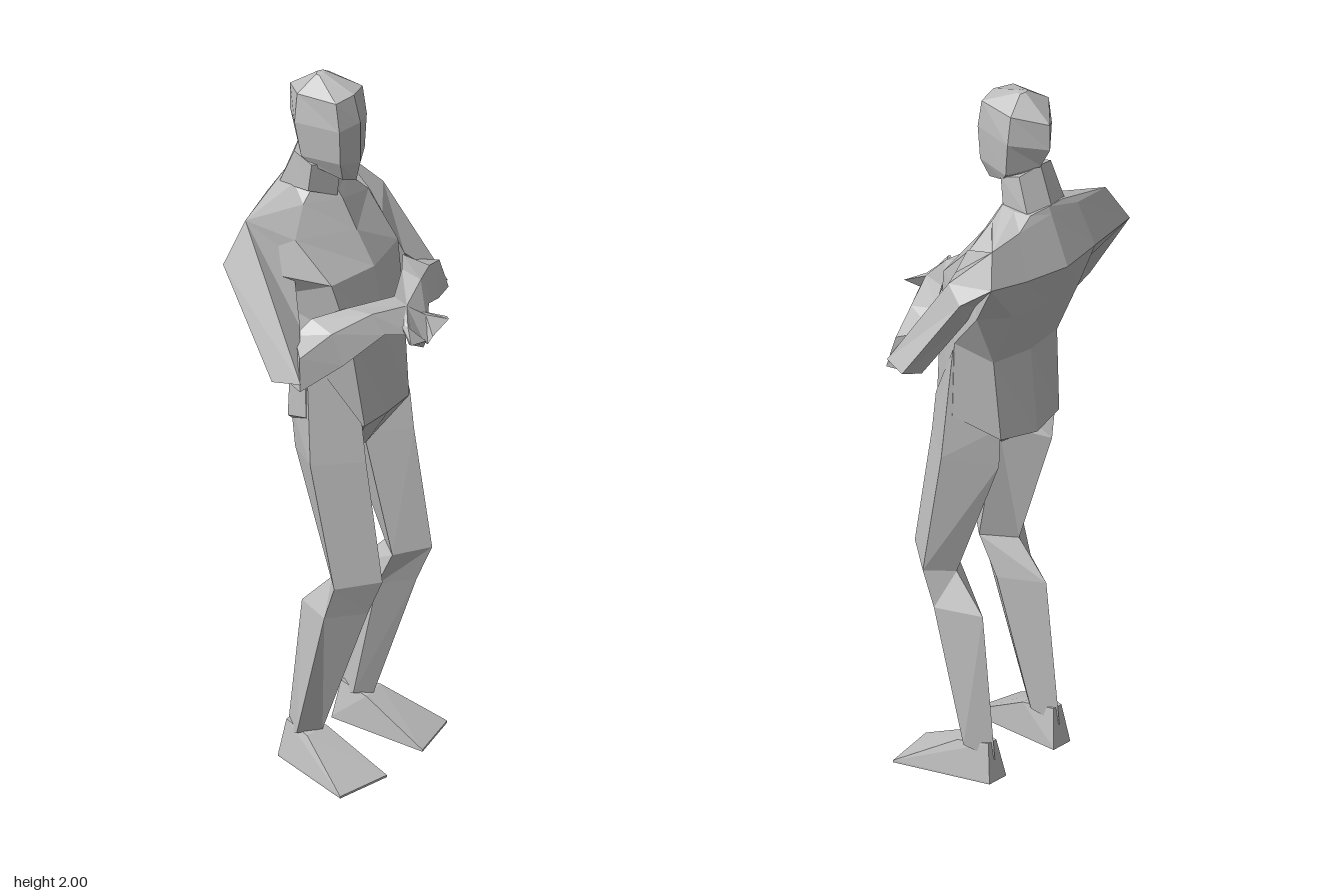
import * as THREE from 'three';

const grey = new THREE.MeshStandardMaterial({ color: 0xc0c0c0 });
grey.name = 'clay grey';

// Closed faceted skin through rings of [x, y, z] corners, capped at both ends
function loft(name, rings) {
  const tris = [];
  const n = rings[0].length;
  const middle = (ring) => [0, 1, 2].map((k) => ring.reduce((s, p) => s + p[k], 0) / n);
  const first = rings[0], last = rings[rings.length - 1];
  const c0 = middle(first), c1 = middle(last);
  for (let i = 0; i < n; i++) {
    const j = (i + 1) % n;
    for (let r = 0; r + 1 < rings.length; r++) {
      const a = rings[r], b = rings[r + 1];
      tris.push([a[i], a[j], b[j]], [a[i], b[j], b[i]]);
    }
    tris.push([c0, first[j], first[i]], [c1, last[i], last[j]]);
  }
  // Turn the faces outward by the sign of the enclosed volume
  let volume = 0;
  for (const [a, b, c] of tris) {
    volume += new THREE.Vector3(...a).dot(new THREE.Vector3(...b).cross(new THREE.Vector3(...c)));
  }
  if (volume < 0) tris.forEach((t) => t.reverse());
  const geometry = new THREE.BufferGeometry();
  geometry.setAttribute('position', new THREE.Float32BufferAttribute(tris.flat(2), 3));
  geometry.computeVertexNormals();
  const mesh = new THREE.Mesh(geometry, grey);
  mesh.name = name;
  return mesh;
}

const flip = ([x, y, z]) => [-x, y, z];

// Full ring from its left half, listed from front centre to back centre
const whole = (half) => [...half, ...half.slice(1, -1).reverse().map(flip)];

// Torso ring whose side corner differs between left and right
const uneven = (front, left, right, back) => [
  ...front, left, ...back, ...back.slice(0, -1).reverse().map(flip), flip(right), ...front.slice(1).reverse().map(flip),
];

// Rings moved to one side of the body, with a small sideways shift
const place = (rings, side, shift = 0) =>
  rings.map((ring) => ring.map(([x, y, z]) => [side * x + (y < 0.9 ? shift : 0), y, z]));

// Shoulder rings: top, front, inner, back; the right one is a little wider
const shoulders = {
  left: [[0.205, 1.64, -0.18], [0.165, 1.58, -0.055], [0.17, 1.43, -0.1], [0.24, 1.55, -0.21]],
  right: [[0.24, 1.64, -0.165], [0.165, 1.58, -0.075], [0.17, 1.43, -0.11], [0.305, 1.53, -0.19]],
};

export function createModel() {
  const figure = new THREE.Group();
  figure.name = 'standingFigure';

  const head = loft('head', [
    [[0, 2, -0.08], [0.015, 1.998, -0.085], [0.015, 1.998, -0.095], [0, 2, -0.1]],
    [[0, 1.965, 0.015], [0.06, 1.96, 0], [0.072, 1.96, -0.115], [0, 1.935, -0.188]],
    [[0, 1.89, 0.035], [0.062, 1.88, 0.012], [0.084, 1.88, -0.115], [0, 1.86, -0.188]],
    [[0, 1.77, 0.035], [0.055, 1.78, 0.01], [0.075, 1.78, -0.1], [0, 1.8, -0.155]],
    [[0, 1.712, 0.022], [0.03, 1.72, 0], [0.058, 1.75, -0.07], [0, 1.78, -0.14]],
  ].map(whole));
  head.position.x = -0.006;

  const neck = loft('neck', [
    [[0, 1.75, -0.025], [0.066, 1.76, -0.07], [0.06, 1.78, -0.13], [0, 1.8, -0.15]],
    [[0, 1.65, -0.035], [0.068, 1.68, -0.08], [0.07, 1.68, -0.17], [0, 1.69, -0.19]],
  ].map(whole));
  neck.position.x = -0.01;

  // Shoulders, chest, waist, hips and crotch
  const { left, right } = shoulders;
  const torso = loft('torso', [
    whole([[0, 1.66, -0.04], [0.06, 1.682, -0.08], [0.07, 1.685, -0.13], [0.06, 1.688, -0.18], [0, 1.695, -0.19]]),
    uneven([[0, 1.64, -0.025], [0.1, 1.65, -0.08]], left[0], right[0], [[0.11, 1.66, -0.188], [0, 1.675, -0.198]]),
    uneven([[0, 1.56, 0.02], [0.165, 1.58, -0.06]], left[3], right[3], [[0.13, 1.54, -0.232], [0, 1.54, -0.256]]),
    whole([[0, 1.47, 0.075], [0.15, 1.47, 0.045], [0.2, 1.41, -0.12], [0.125, 1.41, -0.18], [0, 1.41, -0.2]]),
    whole([[0, 1.3, 0.105], [0.12, 1.3, 0.085], [0.178, 1.29, -0.02], [0.12, 1.24, -0.105], [0, 1.24, -0.125]]),
    whole([[0, 1.05, 0.12], [0.1, 1.05, 0.115], [0.18, 1.07, -0.015], [0.11, 1.01, -0.122], [0, 1.0, -0.148]]),
    whole([[0, 0.935, 0.05], [0.05, 0.935, 0.04], [0.06, 0.94, 0], [0.05, 0.96, -0.07], [0, 0.97, -0.09]]),
  ]);
  figure.add(head, neck, torso);

  // Leg corners run outer, front, inner, back
  const leg = [
    [[0.178, 1.27, -0.015], [0.108, 1.06, 0.112], [0.05, 1.02, 0.03], [0.105, 1.04, -0.115]],
    [[0.196, 0.94, 0.01], [0.108, 0.95, 0.125], [0.03, 0.94, 0.02], [0.1, 0.92, -0.106]],
    [[0.188, 0.58, 0.07], [0.112, 0.6, 0.17], [0.046, 0.58, 0.09], [0.118, 0.57, 0.015]],
    [[0.183, 0.48, 0.035], [0.11, 0.49, 0.122], [0.054, 0.47, 0.035], [0.12, 0.47, -0.08]],
    [[0.172, 0.1, -0.06], [0.115, 0.1, -0.018], [0.083, 0.1, -0.06], [0.122, 0.06, -0.125]],
  ];
  const foot = [
    [[0.108, 0.11, -0.115], [0.138, 0.11, -0.115], [0.165, 0.1, -0.03], [0.09, 0.1, -0.022]],
    [[0.09, 0.005, -0.132], [0.152, 0.005, -0.132], [0.241, 0.006, 0.128], [0.08, 0.006, 0.163]],
    [[0.09, 0, -0.132], [0.152, 0, -0.132], [0.241, 0, 0.128], [0.08, 0, 0.163]],
  ];

  // Elbow corners run like the shoulder ones: outer front, crook, inner, outer back
  const elbow = [[0.332, 1.27, 0.075], [0.235, 1.375, 0.005], [0.28, 1.235, 0], [0.355, 1.265, 0]];
  // Forearm corners run top back, top front, bottom front, bottom back
  const forearm = [
    [[0.245, 1.35, -0.005], [0.315, 1.335, 0.06], [0.335, 1.25, 0.075], [0.29, 1.232, 0.015]],
    [[0.205, 1.39, 0.02], [0.22, 1.375, 0.095], [0.215, 1.29, 0.128], [0.2, 1.29, 0.06]],
    [[0.125, 1.402, 0.075], [0.11, 1.4, 0.145], [0.1, 1.345, 0.178], [0.11, 1.335, 0.11]],
  ];
  const hand = [
    forearm[2],
    [[0, 1.4, 0.138], [0, 1.385, 0.178], [0.03, 1.325, 0.222], [0.03, 1.32, 0.165]],
    [[-0.04, 1.355, 0.185], [-0.04, 1.35, 0.21], [-0.01, 1.285, 0.238], [-0.02, 1.285, 0.2]],
    [[-0.087, 1.335, 0.245], [-0.085, 1.33, 0.252], [-0.015, 1.31, 0.25], [-0.025, 1.3, 0.235]],
  ];
  // Only the left upper arm swells outward on its way to the elbow
  const bulge = [[0.275, 1.54, -0.09], [0.185, 1.51, -0.03], [0.2, 1.37, -0.07], [0.29, 1.5, -0.145]];

  for (const [side, label] of [[1, 'left'], [-1, 'right']]) {
    const upperArm = [shoulders[label], ...(side > 0 ? [bulge] : []), elbow];
    figure.add(
      loft(label + 'UpperArm', place(upperArm, side)),
      loft(label + 'Forearm', place(forearm, side)),
      loft(label + 'Hand', place(hand, side)),
      loft(label + 'Leg', place(leg, side, 0.014)),
      loft(label + 'Foot', place(foot, side, 0.012)),
    );
  }
  return figure;
}
